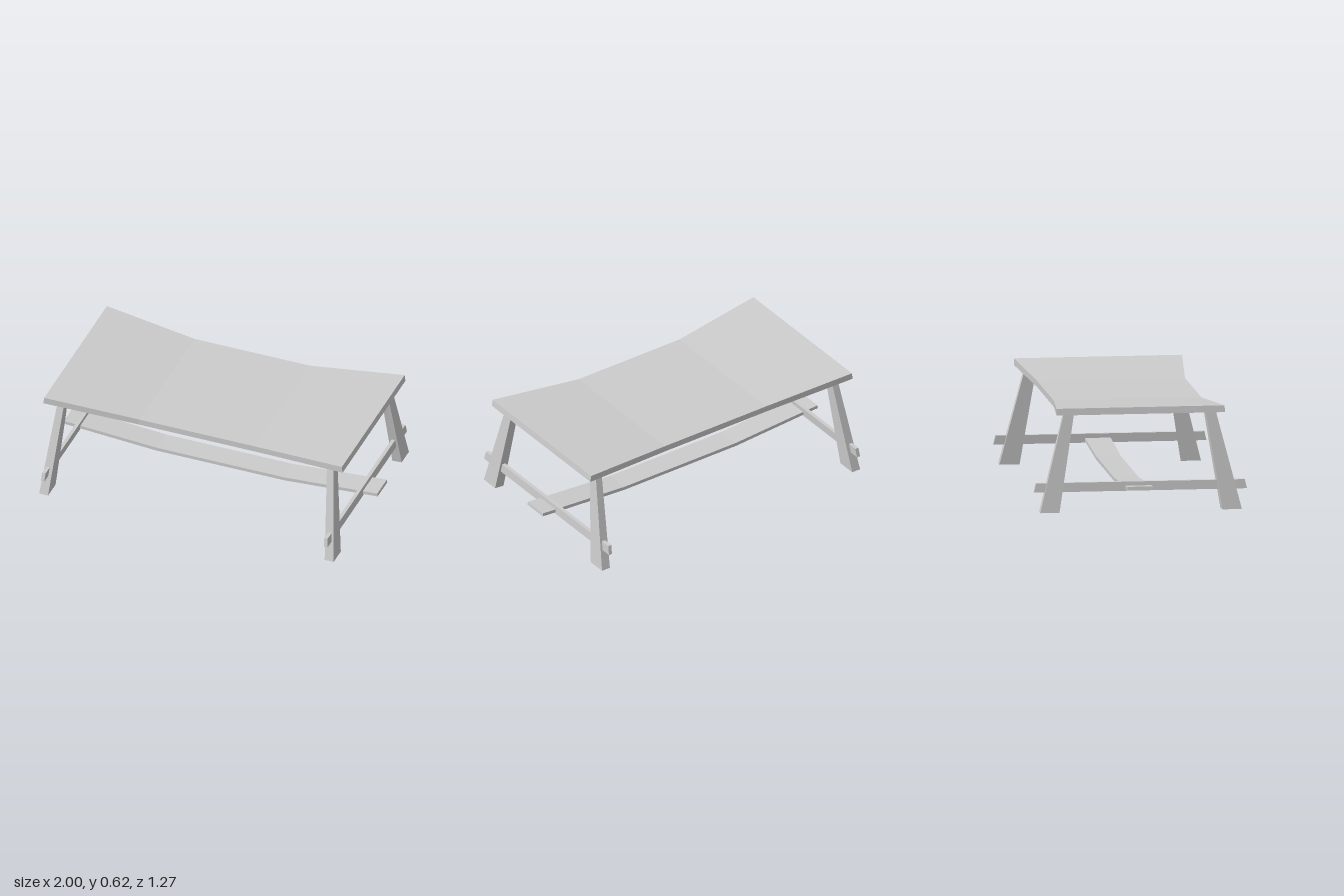
import * as THREE from 'three';

const material = new THREE.MeshStandardMaterial({ color: 0xcccccc, flatShading: true, side: THREE.DoubleSide });

// Joins four-cornered cross-sections (counterclockwise about the direction of travel) into a beam
function beam(name, sections, closeStart = true) {
  const pos = [];
  const quad = (a, b, c, d) => pos.push(...a, ...b, ...c, ...a, ...c, ...d);
  for (let s = 0; s < sections.length - 1; s++) {
    const p = sections[s], q = sections[s + 1];
    for (let i = 0; i < 4; i++) {
      const j = (i + 1) % 4;
      quad(p[i], p[j], q[j], q[i]);
    }
  }
  if (closeStart) quad(...[...sections[0]].reverse());
  quad(...sections[sections.length - 1]);
  const geometry = new THREE.BufferGeometry();
  geometry.setAttribute('position', new THREE.Float32BufferAttribute(pos, 3));
  geometry.computeVertexNormals();
  const mesh = new THREE.Mesh(geometry, material);
  mesh.name = name;
  return mesh;
}

// Plank along x with a flat middle and raised, wider ends
function saggingPlank(name, cx, cz, mid, end) {
  const section = (side, { xb, xt, yb, yt, w }) => [
    [cx + side * xb, yb, cz - w], [cx + side * xt, yt, cz - w],
    [cx + side * xt, yt, cz + w], [cx + side * xb, yb, cz + w],
  ];
  return beam(name, [section(-1, end), section(-1, mid), section(1, mid), section(1, end)]);
}

// Splayed, tapered leg with an open foot
function leg(sx, sz) {
  const ring = (y, xIn, xOut, zIn, zOut) => {
    const [x0, x1] = [sx * xIn, sx * xOut].sort((a, b) => a - b).map((x) => x - 0.004);
    // Inner edge is very slightly skewed between the two x sides
    const inner = (x) => sz * (zIn + (Math.abs(x) > (xIn + xOut) / 2 ? 0.003 : -0.003));
    const outer = sz * zOut;
    const zs = (x) => [inner(x), outer].sort((a, b) => a - b);
    const [a0, a1] = zs(x0), [b0, b1] = zs(x1);
    return [[x0, y, a0], [x0, y, a1], [x1, y, b1], [x1, y, b0]];
  };
  return beam('leg', [ring(0, 0.881, 0.938, 0.484, 0.602), ring(0.578, 0.837, 0.879, 0.39, 0.455)], false);
}

// Cross rail through a front and back leg, with slanted ends
function rail(sx) {
  const yb = 0.12, yt = 0.174, half = 0.011;
  const section = (side) => {
    const xb = sx * 0.902 - 0.005, xt = sx * 0.898 - 0.005;
    const zb = side * 0.636, zt = side * 0.623;
    return [[xb - half, yb, zb], [xb + half, yb, zb], [xt + half, yt, zt], [xt - half, yt, zt]];
  };
  return beam('crossRail', [section(-1), section(1)]);
}

export function createModel() {
  const table = new THREE.Group();
  table.name = 'table';

  // Curved table top, pinched in the middle
  table.add(saggingPlank('tableTop', -0.003, -0.004,
    { xb: 0.375, xt: 0.367, yb: 0.544, yt: 0.581, w: 0.441 },
    { xb: 0.953, xt: 0.948, yb: 0.585, yt: 0.625, w: 0.502 }));

  // Long stretcher resting across both rails
  table.add(saggingPlank('stretcher', 0, -0.013,
    { xb: 0.408, xt: 0.404, yb: 0.093, yt: 0.114, w: 0.073 },
    { xb: 1.0, xt: 0.998, yb: 0.136, yt: 0.156, w: 0.077 }));

  for (const sx of [-1, 1]) {
    table.add(rail(sx));
    for (const sz of [-1, 1]) table.add(leg(sx, sz));
  }
  return table;
}
